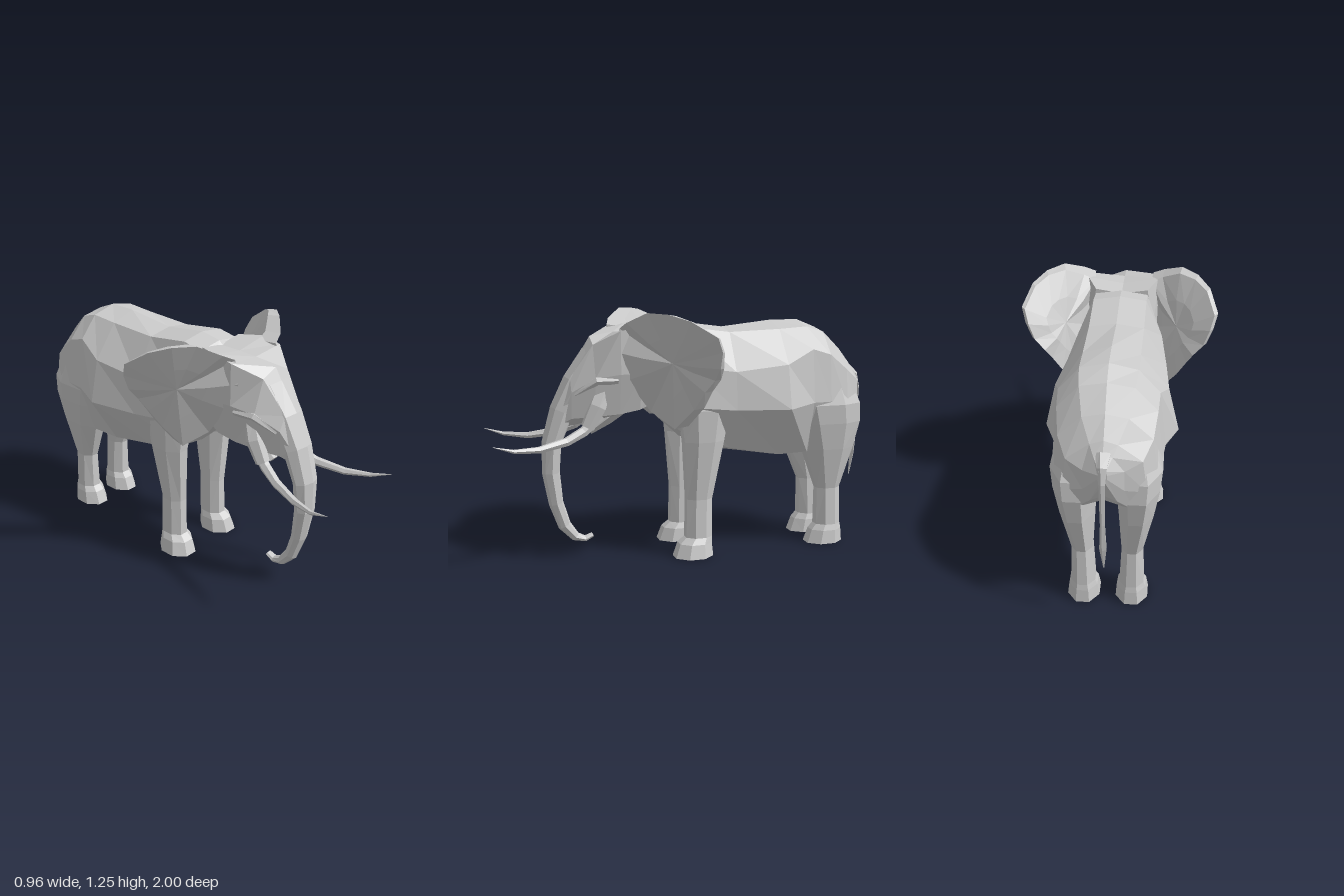
import * as THREE from 'three';

const V = (x, y, z) => new THREE.Vector3(x, y, z);
const material = new THREE.MeshStandardMaterial({ color: 0xcccccc, flatShading: true, side: THREE.DoubleSide });

// Closed skin over a row of equal-length rings, capped with fans and always facing outward
function loft(name, rings) {
  const tris = [];
  const n = rings[0].length;
  for (let i = 0; i < rings.length - 1; i++) {
    for (let j = 0; j < n; j++) {
      const k = (j + 1) % n;
      const [a, b, c, d] = [rings[i][j], rings[i][k], rings[i + 1][k], rings[i + 1][j]];
      tris.push([a, b, c], [a, c, d]);
    }
  }
  const cap = (ring, flip) => {
    const c = ring.reduce((s, p) => s.add(p), V(0, 0, 0)).divideScalar(n);
    ring.forEach((p, j) => {
      const q = ring[(j + 1) % n];
      tris.push(flip ? [c, q, p] : [c, p, q]);
    });
  };
  cap(rings[0], true);
  cap(rings[rings.length - 1], false);
  const volume = tris.reduce((s, [a, b, c]) => s + a.dot(b.clone().cross(c)), 0);
  const points = tris.flatMap(([a, b, c]) => (volume < 0 ? [a, c, b] : [a, b, c]));
  const geometry = new THREE.BufferGeometry().setFromPoints(points);
  geometry.computeVertexNormals();
  const mesh = new THREE.Mesh(geometry, material);
  mesh.name = name;
  return mesh;
}

// Mirrored upright section: z, top y, side points [x, y] going down, bottom y
const section = ([z, top, side, bottom]) => [
  V(0, top, z),
  ...side.map(([x, y]) => V(x, y, z)),
  V(0, bottom, z),
  ...side.slice().reverse().map(([x, y]) => V(-x, y, z)),
];

// Level oval sections: y, centre x, centre z, half width, half depth
const leg = (name, s, rows) => loft(name, rows.map(([y, cx, cz, rx, rz]) =>
  Array.from({ length: 8 }, (_, i) => {
    const a = (i + 0.5) * Math.PI / 4;
    return V(s * (cx + 1.07 * rx * Math.cos(a)), y, cz + 1.07 * rz * Math.sin(a));
  })));

// Tapering tube through rows of x, y, z, half width, half thickness
function limb(name, s, rows, sides = 6) {
  const pts = rows.map(([x, y, z]) => V(s * x, y, z));
  return loft(name, rows.map(([, , , rw, rt], i) => {
    const t = pts[Math.min(i + 1, pts.length - 1)].clone().sub(pts[Math.max(i - 1, 0)]).normalize();
    const normal = t.clone().cross(V(1, 0, 0)).normalize();
    const across = normal.clone().cross(t).normalize();
    return Array.from({ length: sides }, (_, j) => {
      const a = j / sides * Math.PI * 2;
      return pts[i].clone().addScaledVector(across, rw * Math.cos(a)).addScaledVector(normal, rt * Math.sin(a));
    });
  }));
}

// Cupped ear, with a hollow front and a back that thickens toward the head
function ear(name, s) {
  const rim = [
    [0.15, 1.17, 0.37], [0.21, 1.2, 0.35], [0.3, 1.25, 0.27], [0.38, 1.245, 0.19], [0.44, 1.215, 0.1],
    [0.48, 1.14, -0.02], [0.46, 1.07, -0.05], [0.43, 0.99, -0.05], [0.38, 0.93, -0.04], [0.35, 0.87, 0],
    [0.3, 0.78, 0.04], [0.24, 0.68, 0.12], [0.16, 0.76, 0.22], [0.17, 0.92, 0.34], [0.16, 1.06, 0.4],
  ].map((p) => V(...p));
  const centre = V(0.31, 1.0, 0.15);
  const ring = (size, dx, dz, root) => rim.map((p) => {
    const q = centre.clone().lerp(p, size);
    return V(s * (q.x + dx), q.y, q.z + dz - root * Math.max(0, 0.46 - q.x));
  });
  return loft(name, [ring(0.5, 0, 0, 0), ring(1, 0, 0, 0), ring(0.97, -0.012, -0.02, 0.25), ring(0.5, -0.03, -0.045, 0.15)]);
}

export function createModel() {
  const model = new THREE.Group();
  model.name = 'elephant';

  // Body, from neck to rump
  model.add(loft('body', [
    [0.2, 1.12, [[0.11, 1.08], [0.16, 0.98], [0.16, 0.86], [0.1, 0.78]], 0.76],
    [0.14, 1.17, [[0.13, 1.15], [0.18, 1.0], [0.18, 0.83], [0.12, 0.72]], 0.7],
    [0.03, 1.19, [[0.13, 1.17], [0.21, 0.98], [0.235, 0.78], [0.16, 0.62]], 0.6],
    [-0.2, 1.16, [[0.13, 1.14], [0.24, 0.95], [0.26, 0.76], [0.15, 0.55]], 0.52],
    [-0.47, 1.19, [[0.13, 1.15], [0.26, 0.98], [0.31, 0.76], [0.15, 0.5]], 0.475],
    [-0.62, 1.19, [[0.13, 1.16], [0.225, 1.05], [0.255, 0.78], [0.17, 0.51]], 0.475],
    [-0.72, 1.15, [[0.12, 1.13], [0.22, 1.02], [0.245, 0.78], [0.18, 0.54]], 0.54],
    [-0.82, 1.06, [[0.1, 1.04], [0.205, 0.94], [0.23, 0.75], [0.17, 0.58]], 0.6],
    [-0.9, 0.98, [[0.06, 0.96], [0.165, 0.88], [0.185, 0.72], [0.13, 0.62]], 0.67],
    [-0.935, 0.93, [[0.04, 0.92], [0.09, 0.85], [0.09, 0.75], [0.06, 0.69]], 0.72],
    [-0.98, 0.885, [[0.015, 0.88], [0.02, 0.86], [0.02, 0.84], [0.012, 0.82]], 0.81],
  ].map(section)));

  // Head with broad flat crown, forehead and cheeks
  model.add(loft('head', [
    [0.15, 1.15, [[0.13, 1.17], [0.16, 0.95], [0.12, 0.82]], 0.78],
    [0.27, 1.15, [[0.18, 1.18], [0.19, 0.95], [0.15, 0.77]], 0.74],
    [0.37, 1.145, [[0.18, 1.16], [0.18, 0.95], [0.14, 0.75]], 0.73],
    [0.49, 1.125, [[0.09, 1.09], [0.15, 0.93], [0.12, 0.74]], 0.7],
    [0.6, 0.94, [[0.06, 0.93], [0.095, 0.86], [0.085, 0.73]], 0.68],
    [0.65, 0.82, [[0.045, 0.81], [0.065, 0.77], [0.055, 0.7]], 0.66],
  ].map(section)));

  // Lower jaw
  model.add(limb('lowerJaw', 1, [
    [0, 0.79, 0.33, 0.11, 0.05], [0, 0.72, 0.42, 0.075, 0.045], [0, 0.65, 0.5, 0.03, 0.02],
  ]));

  // Trunk, flowing from the forehead and curling back at the tip
  model.add(limb('trunk', 1, [
    [0, 1.04, 0.48, 0.1, 0.055], [0, 0.9, 0.565, 0.088, 0.065], [0, 0.76, 0.635, 0.08, 0.062],
    [0, 0.6, 0.69, 0.07, 0.05], [0, 0.45, 0.697, 0.057, 0.045], [0, 0.29, 0.675, 0.045, 0.037],
    [0, 0.17, 0.635, 0.036, 0.033], [0, 0.105, 0.58, 0.028, 0.024], [0, 0.09, 0.53, 0.023, 0.016],
    [0, 0.108, 0.49, 0.02, 0.011],
  ], 8));

  // Tail, with a flattened tuft
  model.add(limb('tail', 1, [
    [0, 0.93, -0.92, 0.04, 0.02], [0, 0.89, -0.97, 0.024, 0.015], [0, 0.82, -0.99, 0.016, 0.01],
    [0, 0.6, -0.985, 0.012, 0.009], [0, 0.45, -0.972, 0.018, 0.01], [0, 0.33, -0.956, 0.003, 0.003],
  ], 5));

  for (const [side, s] of [['left', 1], ['right', -1]]) {
    model.add(ear(side + 'Ear', s));

    // Tusk and the fleshy socket it grows from
    model.add(limb(side + 'Tusk', s, [
      [0.1, 0.74, 0.46, 0.026, 0.026], [0.125, 0.67, 0.55, 0.027, 0.026], [0.155, 0.63, 0.64, 0.024, 0.022],
      [0.2, 0.607, 0.78, 0.019, 0.017], [0.24, 0.615, 0.9, 0.011, 0.01], [0.26, 0.645, 0.998, 0.001, 0.001],
    ]));
    model.add(limb(side + 'TuskSocket', s, [
      [0.1, 0.88, 0.44, 0.045, 0.04], [0.125, 0.79, 0.48, 0.045, 0.045], [0.125, 0.69, 0.53, 0.035, 0.035],
    ]));
    // Brow ridge above the eye
    model.add(limb(side + 'Brow', s, [
      [0.15, 0.92, 0.38, 0.03, 0.025], [0.14, 0.92, 0.48, 0.026, 0.022], [0.09, 0.85, 0.58, 0.015, 0.015],
    ]));

    model.add(leg(side + 'FrontLeg', s, [
      [0.96, 0.14, -0.05, 0.06, 0.1], [0.76, 0.153, -0.055, 0.088, 0.13], [0.6, 0.165, -0.05, 0.068, 0.105],
      [0.3, 0.15, -0.032, 0.052, 0.068], [0.1, 0.152, -0.03, 0.055, 0.07],
      [0.07, 0.155, -0.01, 0.07, 0.085], [0, 0.16, 0, 0.083, 0.1],
    ]));
    model.add(leg(side + 'HindLeg', s, [
      [1.0, 0.12, -0.72, 0.07, 0.08], [0.76, 0.145, -0.715, 0.105, 0.2], [0.66, 0.142, -0.735, 0.098, 0.185],
      [0.52, 0.135, -0.752, 0.08, 0.138], [0.3, 0.117, -0.765, 0.05, 0.066], [0.1, 0.115, -0.77, 0.058, 0.07],
      [0.07, 0.115, -0.76, 0.068, 0.085], [0, 0.115, -0.75, 0.077, 0.1],
    ]));
  }
  return model;
}
